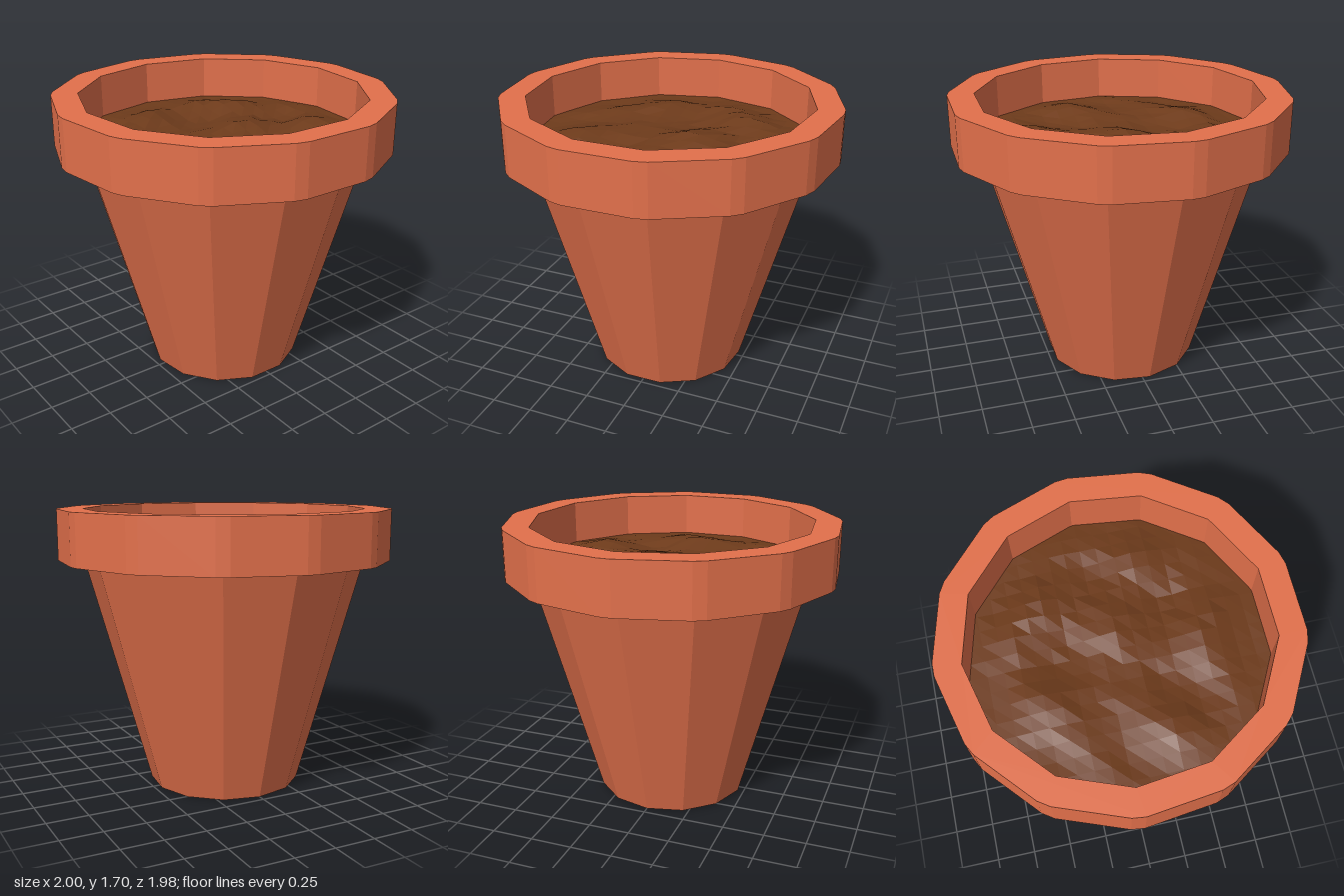
import * as THREE from 'three';

const SIDES = 13;
const STEP = (Math.PI * 2) / SIDES;
const R_TOP = 0.85, R_BASE = 0.465, RIM = 0.157;
const Y_RIM = 1.395, Y_TOP = 1.7;

// corner i of the 13-sided outline, first corner towards the back
const corner = (i, r = R_TOP) =>
  new THREE.Vector2(Math.sin(i * STEP) * r, Math.cos(i * STEP) * r);

// distance from the centre to the polygon edge along an angle
function polygonRadius(angle, r) {
  const a = ((angle % STEP) + STEP) % STEP - STEP / 2;
  return (r * Math.cos(STEP / 2)) / Math.cos(a);
}

// repeatable jitter for a grid point
function jitter(i, j) {
  const s = Math.sin(i * 127.1 + j * 311.7) * 43758.5453;
  return s - Math.floor(s) - 0.5;
}

// rim: every wall panel is pushed straight out, leaving narrow bevels at the corners
function rimGeometry() {
  const outer = [], inner = [];
  for (let i = 0; i < SIDES; i++) {
    const push = corner(i + 0.5, RIM);
    outer.push(corner(i).add(push), corner(i + 1).add(push));
    inner.push(corner(i));
  }
  const shape = new THREE.Shape(outer);
  // the hole runs opposite to the outline so its walls face inwards
  shape.holes.push(new THREE.Path(inner.reverse()));
  const geo = new THREE.ExtrudeGeometry(shape, { depth: Y_TOP - Y_RIM, bevelEnabled: false });
  return geo.rotateX(-Math.PI / 2).translate(0, Y_RIM, 0);
}

// soil: lumpy square grid gathered in to the pot wall
function soilGeometry() {
  const cells = 20, size = 1.87;
  const geo = new THREE.PlaneGeometry(size, size, cells, cells).rotateX(-Math.PI / 2);
  const p = geo.attributes.position;
  for (let k = 0; k < p.count; k++) {
    let x = p.getX(k), z = p.getZ(k);
    const r = Math.hypot(x, z);
    const limit = polygonRadius(Math.atan2(x, -z), R_TOP + 0.005);
    const edge = Math.min(1, Math.max(0, (limit - r) / 0.25));
    if (r > limit) {
      x *= limit / r;
      z *= limit / r;
    }
    const waves = Math.sin(x * 11 + Math.sin(z * 4) * 2) * 0.016
      + Math.sin(z * 12 + Math.cos(x * 4) * 2) * 0.018;
    const lumps = waves + jitter(k % (cells + 1), Math.floor(k / (cells + 1))) * 0.015;
    p.setXYZ(k, x, 1.443 + edge * (0.02 + lumps), z);
  }
  geo.computeVertexNormals();
  return geo;
}

export function createModel() {
  const clay = new THREE.MeshStandardMaterial({ color: 0xe2704b, flatShading: true });
  const earth = new THREE.MeshStandardMaterial({ color: 0x6e3b1b, flatShading: true });
  const group = new THREE.Group();
  group.name = 'flowerPot';

  const add = (name, geometry, material) => {
    const mesh = new THREE.Mesh(geometry, material);
    mesh.name = name;
    mesh.position.z = 0.01; // balances the odd-sided outline about z = 0
    group.add(mesh);
  };

  // tapered body with a closed base
  const body = new THREE.CylinderGeometry(R_TOP, R_BASE, Y_RIM, SIDES);
  add('body', body.rotateY(Math.PI).translate(0, Y_RIM / 2, 0), clay);
  add('rim', rimGeometry(), clay);
  add('soil', soilGeometry(), earth);
  return group;
}
